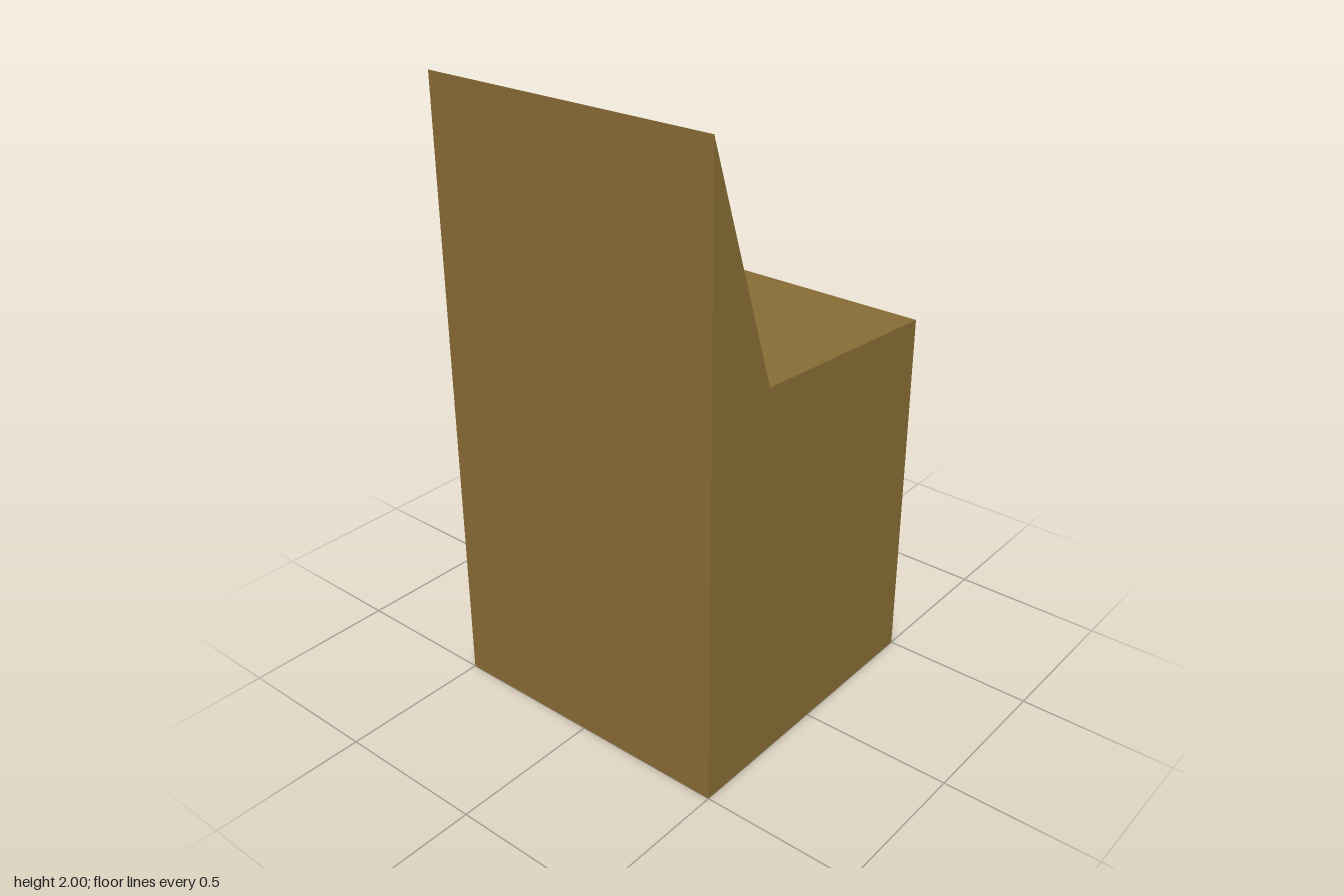
import * as THREE from 'three';

export function createModel() {
  const model = new THREE.Group();
  const wood = new THREE.MeshStandardMaterial({ color: 0x8b6e36 });
  wood.name = 'ochreBrown';

  const shapeOf = (points) => new THREE.Shape(points.map(([x, y]) => new THREE.Vector2(x, y)));
  const extrude = (points, depth) =>
    new THREE.ExtrudeGeometry(shapeOf(points), { depth, bevelEnabled: false });
  const add = (parent, name, geometry) => {
    const mesh = new THREE.Mesh(geometry, wood);
    mesh.name = name;
    parent.add(mesh);
    return mesh;
  };

  // Seat block and tapered upright, one side profile (z, y) swept across x
  const profile = [[-0.5, 0], [0.5, 0], [0.5, 2], [0.25, 1.25], [-0.5, 1.2]];
  const body = extrude(profile.map(([z, y]) => [-z, y]), 1);
  body.translate(0, 0, -0.5).rotateY(Math.PI / 2);
  add(model, 'body', body);

  // Details lying on the sloping seat
  const seatTop = new THREE.Group();
  seatTop.name = 'seatDetails';
  seatTop.position.set(0, 1.2333, 0);
  seatTop.rotation.x = -Math.atan(0.05 / 0.75);
  model.add(seatTop);

  // Flat five-sided plate with one corner towards the back
  const plate = new THREE.CylinderGeometry(0.18, 0.18, 0.003, 5).toNonIndexed();
  plate.rotateY(Math.PI);
  plate.computeVertexNormals();
  add(seatTop, 'plate', plate);

  // Small irregular five-sided knob, corners as (x, z)
  const corners = [[0.045, -0.102], [0.057, 0.006], [0.007, 0.06], [-0.058, 0.028], [-0.05, -0.044]];
  const knob = extrude(corners.map(([x, z]) => [x, -z]), 0.046);
  knob.rotateX(-Math.PI / 2);
  add(seatTop, 'knob', knob);

  return model;
}
